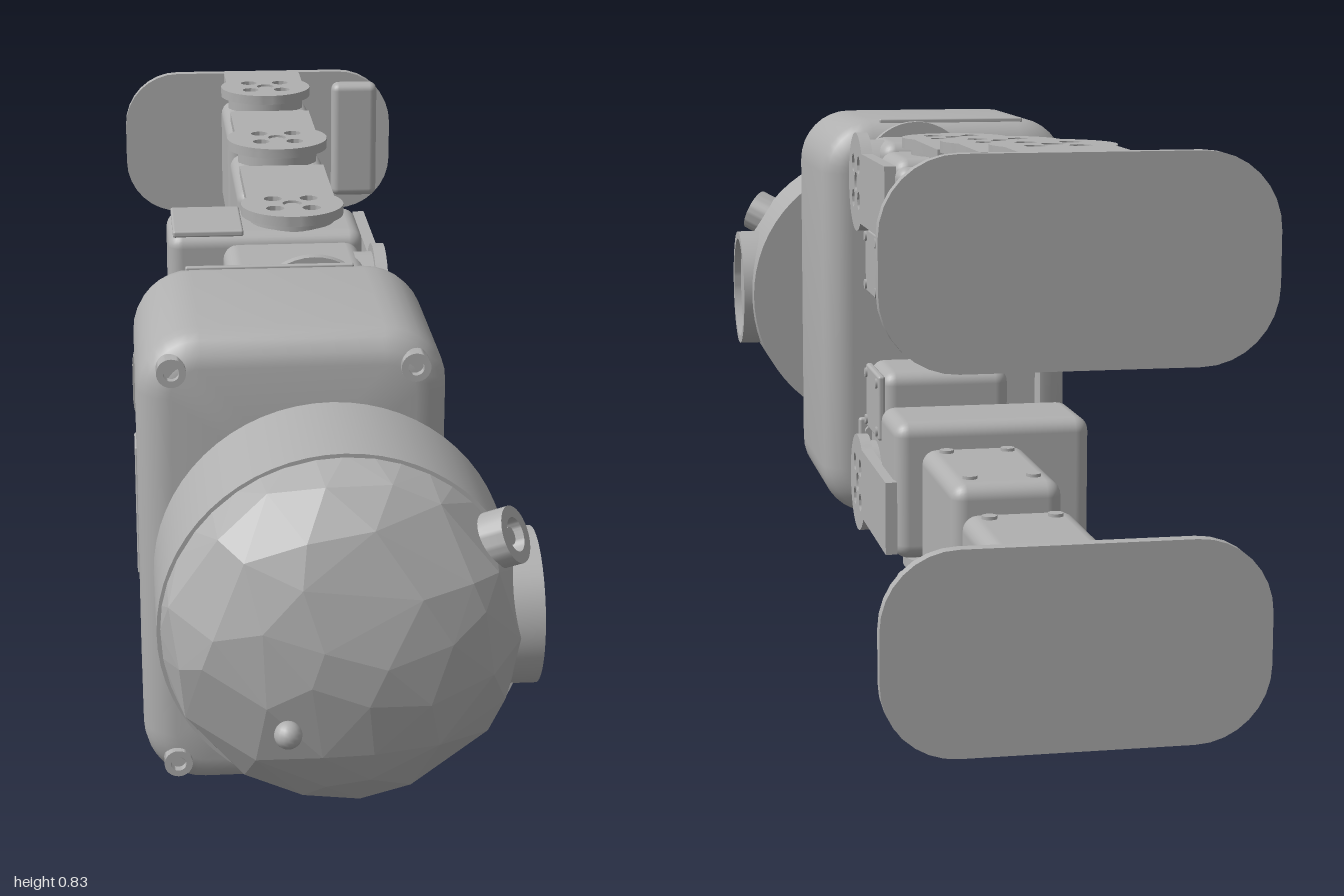
import * as THREE from 'three';
import { toCreasedNormals } from 'three/addons/utils/BufferGeometryUtils.js';
import { RoundedBoxGeometry } from 'three/addons/geometries/RoundedBoxGeometry.js';
import { ConvexGeometry } from 'three/addons/geometries/ConvexGeometry.js';

const MID = 0.415; // height of the mirror plane between the legs

export function createModel() {
  const grey = new THREE.MeshStandardMaterial({ color: 0xb0b0b0 });
  grey.name = 'plasticGrey';
  const model = new THREE.Group();

  function add(parent, name, geo, x = 0, y = 0, z = 0) {
    const m = new THREE.Mesh(geo, grey);
    m.name = name;
    m.position.set(x, y, z);
    parent.add(m);
    return m;
  }
  // Rounded box given by its extents
  function block(parent, name, [x0, x1], [y0, y1], [z0, z1], r = 0.025) {
    const geo = new RoundedBoxGeometry(x1 - x0, Math.abs(y1 - y0), z1 - z0, 3, r);
    return add(parent, name, geo, (x0 + x1) / 2, (y0 + y1) / 2, (z0 + z1) / 2);
  }
  // Cylinder along a chosen axis
  function rod(parent, name, axis, r, len, x, y, z, seg = 32) {
    const geo = new THREE.CylinderGeometry(r, r, len, seg);
    if (axis === 'x') geo.rotateZ(Math.PI / 2);
    if (axis === 'z') geo.rotateX(Math.PI / 2);
    return add(parent, name, geo, x, y, z);
  }
  // Open ring with a square section, axis along z
  function ringGeometry(inner, outer, h, seg = 32) {
    const s = new THREE.Shape().absarc(0, 0, outer, 0, Math.PI * 2);
    s.holes.push(new THREE.Path().absarc(0, 0, inner, 0, Math.PI * 2, true));
    const g = new THREE.ExtrudeGeometry(s, { depth: h, bevelEnabled: false, curveSegments: seg });
    return toCreasedNormals(g, 0.6);
  }
  // Outline of a rounded rectangle as points
  function roundedRect(hw, hh, r, n = 8) {
    const pts = [];
    [[1, 1], [-1, 1], [-1, -1], [1, -1]].forEach(([sx, sy], q) => {
      for (let i = 0; i <= n; i++) {
        const a = (q + i / n) * Math.PI / 2;
        pts.push(new THREE.Vector2(sx * (hw - r) + r * Math.cos(a), sy * (hh - r) + r * Math.sin(a)));
      }
    });
    return pts;
  }
  // Horn disc with screw holes and a bar running along +x
  function linkGeometry(r, a, b, len, thick) {
    const s = new THREE.Shape();
    s.moveTo(len, a);
    s.lineTo(len, b);
    s.absarc(0, 0, r, Math.asin(b / r), Math.PI * 2 + Math.asin(a / r), false);
    for (let i = 0; i < 4; i++) {
      const t = Math.PI / 4 + i * Math.PI / 2;
      s.holes.push(new THREE.Path().absarc(0.045 * Math.cos(t), 0.045 * Math.sin(t), 0.016, 0, Math.PI * 2, true));
    }
    s.holes.push(new THREE.Path().absarc(0, 0, 0.017, 0, Math.PI * 2, true));
    const g = new THREE.ExtrudeGeometry(s, { depth: thick, bevelEnabled: false, curveSegments: 20 });
    return toCreasedNormals(g, 0.6);
  }

  // Torso: rounded-rectangle loops from the front face round to the recessed back
  const profile = [[0.2, 0.63], [0.05, 0.63], [0.03, 0.625], [0.012, 0.61], [0.003, 0.595], [0, 0.575],
    [0, 0.3], [0.003, 0.28], [0.012, 0.263], [0.03, 0.25], [0.045, 0.245], [0.055, 0.245], [0.055, 0.29], [0.2, 0.29]];
  const pos = [], idx = [];
  let n = 0;
  for (const [inset, z] of profile) {
    const loop = roundedRect(0.2325 - inset, 0.3725 - inset, Math.max(0.095 - inset, 0.02));
    n = loop.length;
    loop.forEach(p => pos.push(p.x, p.y, z));
  }
  for (let k = 0; k < profile.length - 1; k++) {
    for (let i = 0; i < n; i++) {
      const a = k * n + i, b = k * n + (i + 1) % n;
      idx.push(a, a + n, b, b, a + n, b + n);
    }
  }
  for (let i = 1; i < n - 1; i++) {
    const e = (profile.length - 1) * n;
    idx.push(0, i, i + 1, e, e + i + 1, e + i);
  }
  const torsoGeo = new THREE.BufferGeometry();
  torsoGeo.setAttribute('position', new THREE.Float32BufferAttribute(pos, 3));
  torsoGeo.setIndex(idx);
  const torso = new THREE.Group();
  torso.name = 'torso';
  model.add(torso);
  add(torso, 'torsoShell', toCreasedNormals(torsoGeo, 0.7), -0.0525, 0.4175, 0);
  block(torso, 'sidePanel', [-0.288, -0.28], [0.3, 0.52], [0.3, 0.37], 0.003);
  block(torso, 'topSlot', [-0.2, 0.07], [0.782, 0.792], [0.275, 0.285], 0.003);
  for (const x of [-0.233, 0.128]) {
    for (const y of [0.095, 0.738]) {
      add(torso, 'cornerSocket', ringGeometry(0.012, 0.022, 0.04, 16), x, y, 0.6);
      rod(torso, 'cornerScrew', 'z', 0.013, 0.03, x, y, 0.612, 16);
    }
  }

  // Head: drum, faceted dome, lens port and small sensors
  const head = new THREE.Group();
  head.name = 'head';
  head.position.set(0.003, 0.416, 0);
  model.add(head);
  const R = 0.268;
  rod(head, 'headDrum', 'z', R, 0.21, 0, 0, 0.735, 64);
  let seed = 11;
  const rand = () => (seed = (seed * 16807) % 2147483647) / 2147483647;
  const pts = [];
  for (let i = 0; i < 40; i++) {
    const a = i / 40 * Math.PI * 2;
    pts.push(new THREE.Vector3(0.264 * Math.cos(a), 0.264 * Math.sin(a), 0.835));
  }
  for (const [count, r] of [[16, 0.25], [12, 0.2], [8, 0.135], [4, 0.06]]) {
    for (let i = 0; i < count; i++) {
      const a = (i + 0.7 * rand()) / count * Math.PI * 2;
      const q = r + (rand() - 0.5) * 0.025;
      pts.push(new THREE.Vector3(q * Math.cos(a), q * Math.sin(a), 0.84 + 0.15 * Math.sqrt(1 - (q / R) ** 2)));
    }
  }
  add(head, 'facetedDome', new ConvexGeometry(pts));
  add(head, 'lensRing', ringGeometry(0.1, 0.115, 0.09), 0.194, 0, 0.78).rotation.y = Math.PI / 2;
  rod(head, 'lensPlate', 'x', 0.102, 0.02, 0.26, 0, 0.78);
  add(head, 'noseBead', new THREE.SphereGeometry(0.02, 16, 12), -0.09, -0.093, 0.985);
  const eye = new THREE.Group();
  eye.name = 'sensorSocket';
  eye.position.set(0.2, 0.13, 0.85);
  eye.quaternion.setFromUnitVectors(new THREE.Vector3(0, 0, 1), new THREE.Vector3(0.8, 0.42, 0.42).normalize());
  add(eye, 'sensorRing', ringGeometry(0.025, 0.042, 0.05, 20));
  rod(eye, 'sensorPin', 'z', 0.013, 0.04, 0, 0, 0.022, 16);
  head.add(eye);

  // Legs, mirrored about the middle height
  for (const s of [1, -1]) {
    const leg = new THREE.Group();
    leg.name = s > 0 ? 'upperLeg' : 'lowerLeg';
    model.add(leg);
    const Y = y => MID + s * (y - MID);
    const span = (a, b) => (s > 0 ? [a, b] : [Y(b), Y(a)]);

    // Hip mount on the back of the torso
    block(leg, 'hipMountPlate', [-0.22, 0.11], span(0.6, 0.73), [0.28, 0.3], 0.005);
    for (const x of [-0.2, 0.09]) for (const y of [0.625, 0.705]) rod(leg, 'mountScrew', 'z', 0.01, 0.02, x, Y(y), 0.28, 12);
    rod(leg, 'hipShaft', 'z', 0.06, 0.1, 0.01, Y(0.69), 0.25);
    rod(leg, 'hipDisc', 'z', 0.1, 0.018, 0.01, Y(0.69), 0.228, 40);

    // Hip servos
    block(leg, 'hipServo', [-0.13, 0.1], span(0.475, 0.765), [0.05, 0.215]);
    block(leg, 'hipServoLid', [0.095, 0.108], span(0.482, 0.6), [0.058, 0.207], 0.005);
    for (const z of [0.072, 0.193]) for (const y of [0.497, 0.585]) rod(leg, 'lidScrew', 'x', 0.009, 0.014, 0.105, Y(y), z, 12);
    rod(leg, 'hipHorn', 'x', 0.075, 0.03, 0.1, Y(0.69), 0.135);
    const hipLink = linkGeometry(0.088, s > 0 ? -0.07 : -0.055, s > 0 ? 0.055 : 0.07, 0.33, 0.02);
    hipLink.rotateY(Math.PI / 2);
    add(leg, 'hipLink', hipLink, 0.115, Y(0.69), 0.135);
    rod(leg, 'hipLinkScrew', 'x', 0.013, 0.02, 0.122, Y(0.69), 0.135, 12);
    block(leg, 'thighServo', [-0.22, 0.118], span(0.52, 0.757), [-0.195, -0.02]);
    block(leg, 'thighServoLid', [-0.212, -0.09], span(0.75, 0.762), [-0.187, -0.028], 0.004);

    // Knee and ankle servos
    block(leg, 'kneeServo', [-0.088, 0.088], span(0.547, 0.767), [-0.56, -0.265]);
    block(leg, 'ankleServo', [-0.088, 0.088], span(0.575, 0.79), [-0.915, -0.62]);
    for (const [z0, z1, y, low] of [[-0.43, -0.28, 0.767, 0.547], [-0.785, -0.635, 0.79, 0.575]]) {
      block(leg, 'servoLid', [-0.075, 0.075], span(y - 0.006, y + 0.005), [z0, z1], 0.003);
      for (const x of [-0.06, 0.06]) {
        rod(leg, 'lidScrew', 'y', 0.009, 0.012, x, Y(y + 0.003), z1 - 0.02, 12);
        rod(leg, 'caseScrew', 'y', 0.012, 0.01, x * 0.85, Y(low), z1 - 0.03, 12);
        rod(leg, 'caseScrew', 'y', 0.012, 0.01, x * 0.85, Y(low), z0 - 0.08, 12);
      }
    }

    // Links on the outer side of the leg, each with its horn and screw
    for (const [name, z, len, y, r] of [['thighLink', -0.11, 0.265, 0.768, 0.09],
      ['shinLink', -0.5, 0.22, 0.791, 0.095], ['footLink', -0.85, 0.145, 0.812, 0.09]]) {
      const g = linkGeometry(r, -0.078, 0.078, len, 0.018);
      g.rotateZ(Math.PI / 2);
      g.rotateX(-Math.PI / 2);
      add(leg, name, g, 0, s > 0 ? y : Y(y + 0.018), z);
      rod(leg, 'linkHorn', 'y', 0.075, 0.05, 0, Y(y - 0.02), z);
      rod(leg, 'linkScrew', 'y', 0.013, 0.018, 0, Y(y + 0.006), z, 12);
    }

    // Foot plate with a pad on one side
    const sole = new THREE.ExtrudeGeometry(new THREE.Shape(roundedRect(0.2775, 0.1475, 0.11)), { depth: 0.02, bevelEnabled: false });
    add(leg, 'footPlate', toCreasedNormals(sole, 0.6), -0.0075, Y(0.6825), -1);
    block(leg, 'footPad', [0.146, 0.24], span(0.57, 0.81), [-0.985, -0.943], 0.015);
  }
  return model;
}
